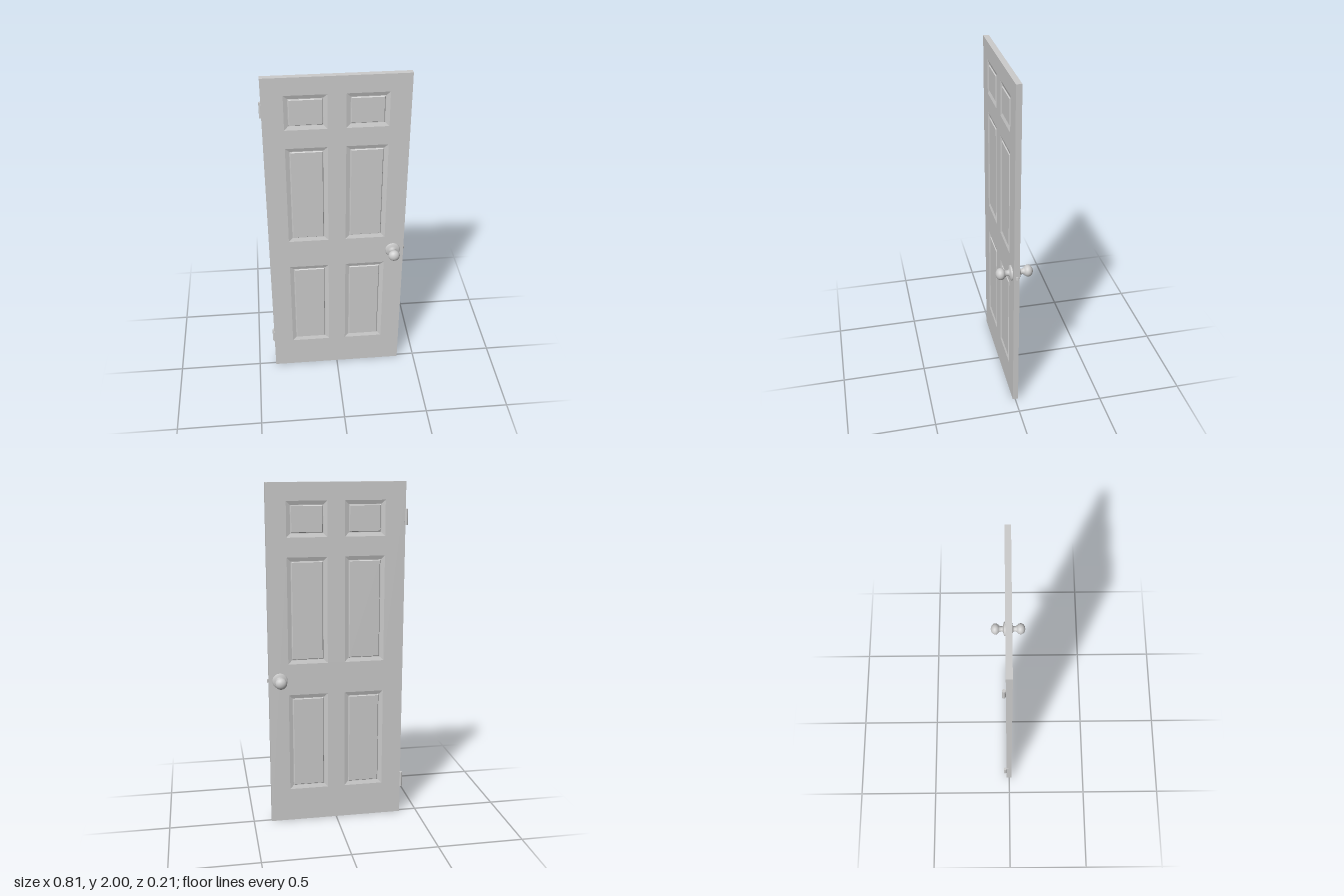
import * as THREE from 'three';

const X0 = -0.396, X1 = 0.394, ZF = 0.0145, ZB = -0.0175, ZC = (ZF + ZB) / 2;
const mat = new THREE.MeshStandardMaterial({ color: 0xcccccc });

function add(parent, name, geometry) {
  const mesh = new THREE.Mesh(geometry, mat);
  mesh.name = name;
  parent.add(mesh);
  return mesh;
}

// Corners of a rectangle, counter-clockwise, shrunk by an inset
function corners([x0, y0, x1, y1], inset, z) {
  return [[x0 + inset, y0 + inset, z], [x1 - inset, y0 + inset, z],
    [x1 - inset, y1 - inset, z], [x0 + inset, y1 - inset, z]];
}

// Flat-sided skin through rectangular loops [inset, z], closed on the last if capped
function loftRects(rect, steps, cap) {
  const pos = [];
  const quad = (a, b, c, d) => pos.push(...a, ...b, ...c, ...a, ...c, ...d);
  const loops = steps.map(([inset, z]) => corners(rect, inset, z));
  for (let i = 0; i + 1 < loops.length; i++) {
    for (let k = 0; k < 4; k++) {
      const n = (k + 1) % 4;
      quad(loops[i][k], loops[i][n], loops[i + 1][n], loops[i + 1][k]);
    }
  }
  if (cap) quad(...loops[loops.length - 1]);
  const g = new THREE.BufferGeometry();
  g.setAttribute('position', new THREE.Float32BufferAttribute(pos, 3));
  g.computeVertexNormals();
  return g;
}

// One door face with six openings and raised panels, facing +z from the door's mid-plane
function doorFace(mirrored) {
  const face = new THREE.Group();
  const half = ZF - ZC;
  const [l, r] = mirrored ? [-X1, -X0] : [X0, X1];
  const shape = new THREE.Shape(corners([l, 0, r, 2], 0, 0).map(([x, y]) => new THREE.Vector2(x, y)));
  for (const [y0, y1] of [[0.2, 0.79], [0.975, 1.59], [1.7, 1.9]]) {
    for (const [x0, x1] of [[-0.28, -0.05], [0.05, 0.28]]) {
      const rect = [x0, y0, x1, y1];
      shape.holes.push(new THREE.Path(corners(rect, 0, 0).map(([x, y]) => new THREE.Vector2(x, y))));
      add(face, 'raisedPanel', loftRects(rect,
        [[0, half], [0.022, half - 0.007], [0.025, half - 0.007], [0.029, half - 0.002]], true));
    }
  }
  add(face, 'faceFrame', new THREE.ShapeGeometry(shape).translate(0, 0, half));
  return face;
}

// Rose, neck and ball of a knob, turned about z
function knob() {
  const profile = [[0.044, 0.015], [0.044, 0.022], [0.04, 0.025], [0.028, 0.028], [0.019, 0.031],
    [0.0165, 0.036], [0.0165, 0.046], [0.019, 0.05]];
  for (let i = 0; i <= 14; i++) {
    const a = -0.95 + (i / 14) * (Math.PI / 2 + 0.95);
    profile.push([i === 14 ? 0 : 0.034 * Math.cos(a), 0.0775 + 0.028 * Math.sin(a)]);
  }
  return new THREE.LatheGeometry(profile.map(([r, y]) => new THREE.Vector2(r, y)), 32)
    .rotateX(Math.PI / 2);
}

export function createModel() {
  const model = new THREE.Group();
  model.name = 'door';

  // Slab: two panelled faces joined by the four narrow edges
  add(model, 'slabEdges', loftRects([X0, 0, X1, 2], [[0, ZB], [0, ZF]], false));
  for (const back of [false, true]) {
    const side = new THREE.Group();
    side.name = back ? 'backSide' : 'frontSide';
    const face = doorFace(back);
    face.name = 'panelledFace';
    side.add(face);
    add(side, 'knob', knob()).position.set(back ? -0.33 : 0.33, 0.88, 0);
    side.position.z = ZC;
    if (back) side.rotation.y = Math.PI;
    model.add(side);
  }

  // Latch bolt: a wedge with its slanted side to the front
  const wedge = new THREE.Shape([[-0.005, 0.008], [0.009, 0.008], [0.009, 0.005], [-0.005, -0.009]]
    .map(([x, y]) => new THREE.Vector2(x, y)));
  add(model, 'latchBolt', new THREE.ExtrudeGeometry(wedge, { depth: 0.02, bevelEnabled: false })
    .rotateX(-Math.PI / 2)).position.set(X1, 0.87, 0);

  // Hinges: knuckle barrel behind the edge, with a leaf let into the edge
  for (const y of [0.22, 1.805]) {
    const hinge = new THREE.Group();
    hinge.name = 'hinge';
    add(hinge, 'barrel', new THREE.CylinderGeometry(0.009, 0.009, 0.09, 16)).position.set(-0.398, 0, -0.027);
    add(hinge, 'leaf', new THREE.BoxGeometry(0.002, 0.09, 0.032)).position.set(X0, 0, -0.009);
    hinge.position.y = y;
    model.add(hinge);
  }
  return model;
}
